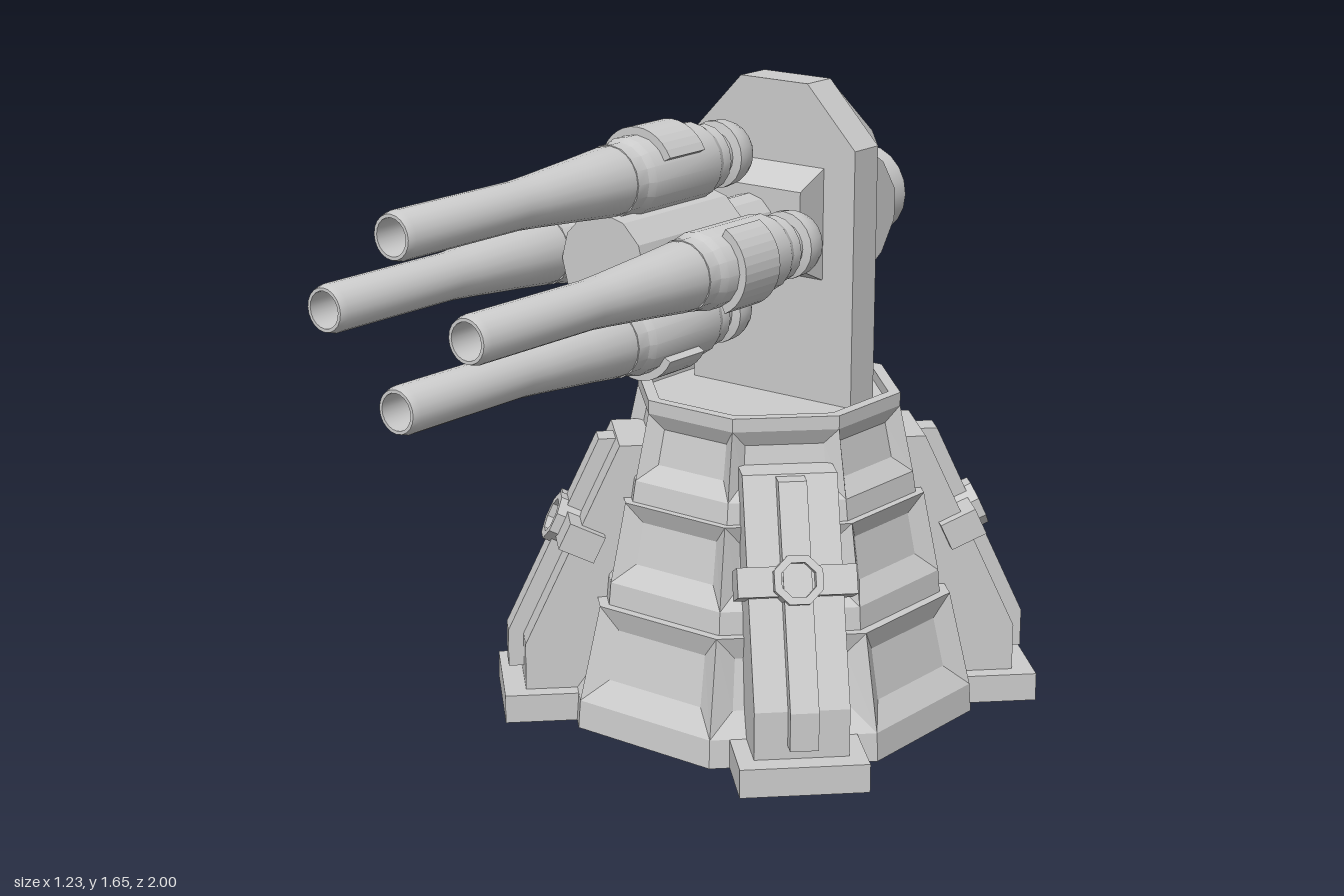
import * as THREE from 'three';
import { toCreasedNormals } from 'three/addons/utils/BufferGeometryUtils.js';

const CZ = -0.385; // centre of the base
const flat = new THREE.MeshStandardMaterial({ color: 0xcccccc, flatShading: true });
const smooth = new THREE.MeshStandardMaterial({ color: 0xcccccc });

function add(parent, name, geo, mat = flat) {
  const m = new THREE.Mesh(geo, mat);
  m.name = name;
  parent.add(m);
  return m;
}

// Triangle collector for faceted shapes
function facets() {
  const pos = [];
  const tri = (...p) => p.forEach(v => pos.push(v.x, v.y, v.z));
  const quad = (a, b, c, d) => { tri(a, b, c); tri(a, c, d); };
  const each = (lo, hi, fn) => lo.forEach((p, i) => {
    const j = (i + 1) % lo.length;
    fn(p, lo[j], hi[j], hi[i], i);
  });
  const band = (lo, hi) => each(lo, hi, quad);
  const cap = (r, up) => {
    for (let i = 1; i < r.length - 1; i++) up ? tri(r[0], r[i], r[i + 1]) : tri(r[0], r[i + 1], r[i]);
  };
  const build = () => {
    const g = new THREE.BufferGeometry();
    g.setAttribute('position', new THREE.Float32BufferAttribute(pos, 3));
    g.computeVertexNormals();
    return g;
  };
  return { quad, each, band, cap, build };
}

// Octagon ring with flats on the axes; r is the distance to a flat
function octagon(r, y) {
  return Array.from({ length: 8 }, (_, i) => {
    const a = (i - 0.5) * Math.PI / 4, R = r / Math.cos(Math.PI / 8);
    return new THREE.Vector3(Math.sin(a) * R, y, Math.cos(a) * R);
  });
}

// Octagonal tier: plinth, sloped sides with sunken panels, upper rim
function tierGeometry(y0, y1, y2, y3, r0, r1, r2, topRecess) {
  const f = facets();
  const a = octagon(r0, y0), b = octagon(r1, y1), c = octagon(r2, y2), d = octagon(r2, y3);
  f.cap(a, false);
  f.band(a, b);
  f.each(b, c, (p0, p1, p2, p3, i) => {
    const n = (i * Math.PI) / 4, at = (u, v) => p0.clone().lerp(p1, u).lerp(p3.clone().lerp(p2, u), v)
      .add(new THREE.Vector3(-Math.sin(n) * 0.03, 0, -Math.cos(n) * 0.03));
    const outer = [p0, p1, p2, p3];
    const inner = [at(0.14, 0.24), at(0.86, 0.24), at(0.86, 0.76), at(0.14, 0.76)];
    f.band(outer, inner);
    f.quad(...inner);
  });
  if (y3 > y2) f.band(c, d);
  if (topRecess) {
    const e = octagon(r2 - 0.03, y3), g = octagon(r2 - 0.03, y3 - 0.03);
    f.band(d, e);
    f.band(e, g);
    f.cap(g, true);
  } else f.cap(d, true);
  return f.build();
}

// Side profile of [forward, y] pairs extruded across x
function sideExtrude(points, halfWidth) {
  const s = new THREE.Shape(points.map(p => new THREE.Vector2(...p)));
  return new THREE.ExtrudeGeometry(s, { depth: halfWidth * 2, bevelEnabled: false })
    .translate(0, 0, -halfWidth).rotateY(-Math.PI / 2);
}

// Turned part along z from [radius, z] pairs
function turned(points, sides) {
  const g = new THREE.LatheGeometry(points.map(p => new THREE.Vector2(...p)), sides).rotateX(Math.PI / 2);
  g.scale(1, 1, 1);
  return toCreasedNormals(g, 0.45);
}

function buttress() {
  const leg = new THREE.Group();
  leg.name = 'buttress';
  add(leg, 'footPad', new THREE.BoxGeometry(0.326, 0.075, 0.35).translate(0, 0.0375, 0.532));
  add(leg, 'buttressBody', sideExtrude(
    [[0.25, 0.02], [0.65, 0.02], [0.65, 0.2], [0.4, 0.735], [0.25, 0.735]], 0.12));
  add(leg, 'buttressRib', sideExtrude(
    [[0.6, 0.11], [0.69, 0.11], [0.69, 0.21], [0.447, 0.73], [0.36, 0.73]], 0.036));

  // Cross clamp with an octagonal ring
  const clamp = new THREE.Group();
  clamp.name = 'clamp';
  clamp.position.set(0, 0.49, 0.515);
  clamp.rotation.x = -0.437;
  add(clamp, 'clampBar', new THREE.BoxGeometry(0.29, 0.075, 0.06).translate(0, 0, 0.005));
  for (const s of [-1, 1]) {
    add(clamp, 'clampEnd', new THREE.BoxGeometry(0.04, 0.075, 0.1).translate(s * 0.13, 0, -0.015));
  }
  const oct = r => Array.from({ length: 8 }, (_, i) => {
    const a = (i + 0.5) * Math.PI / 4;
    return new THREE.Vector2(Math.cos(a) * r, Math.sin(a) * r);
  });
  const ring = new THREE.Shape(oct(0.066));
  ring.holes.push(new THREE.Path(oct(0.046).reverse()));
  add(clamp, 'clampRing', new THREE.ExtrudeGeometry(ring, { depth: 0.08, bevelEnabled: false }).translate(0, 0, -0.02));
  leg.add(clamp);
  return leg;
}

function gunBarrel() {
  const gun = new THREE.Group();
  gun.name = 'gunBarrel';
  const dome = Array.from({ length: 7 }, (_, i) => {
    const a = i * Math.PI / 12;
    return [0.085 * Math.sin(a), -0.175 - 0.085 * Math.cos(a)];
  });
  add(gun, 'barrel', turned([...dome, [0.085, -0.155], [0.062, -0.15], [0.062, -0.1], [0.085, 0.2],
    [0.085, 0.27], [0.075, 0.38], [0.062, 0.54], [0.058, 0.6], [0.058, 0.98], [0.052, 1],
    [0.044, 1], [0.044, 0.9], [0, 0.9]], 20), smooth);
  add(gun, 'collar', turned([[0.06, -0.12], [0.084, -0.115], [0.084, -0.085], [0.097, -0.06],
    [0.097, 0.19], [0.088, 0.21], [0.088, 0.25], [0.08, 0.25]], 16), smooth);

  // Curved clip over the outward half of the collar
  const arc = new THREE.Shape(), a0 = Math.PI / 2 - 1.1, a1 = Math.PI / 2 + 1.1;
  arc.absarc(0, 0, 0.116, a0, a1, false);
  arc.absarc(0, 0, 0.085, a1, a0, true);
  add(gun, 'collarClip', new THREE.ExtrudeGeometry(arc, { depth: 0.135, bevelEnabled: false, curveSegments: 6 })
    .translate(0, 0, 0.015));
  return gun;
}

// Tower lofted from three plans; the back tapers towards the crest
function towerGeometry() {
  const plan = (y, w, z1, w2, z2) => [[-w2, z2], [-w, z1], [-w, -0.4], [w, -0.4], [w, z1], [w2, z2]]
    .map(([x, z]) => new THREE.Vector3(x, y, z));
  const rings = [plan(0.8, 0.255, -0.5, 0.13, -0.655), plan(1.5, 0.255, -0.5, 0.13, -0.655),
    plan(1.655, 0.105, -0.5, 0.1, -0.501)];
  const f = facets();
  f.cap(rings[0], false);
  f.band(rings[0], rings[1]);
  f.band(rings[1], rings[2]);
  f.cap(rings[2], true);
  return f.build();
}

export function createModel() {
  const model = new THREE.Group();
  model.name = 'gunTurret';

  // Stepped base with four diagonal buttresses
  const base = new THREE.Group();
  base.name = 'base';
  base.position.z = CZ;
  add(base, 'lowerTier', tierGeometry(0, 0.075, 0.325, 0.325, 0.52, 0.515, 0.46));
  add(base, 'middleTier', tierGeometry(0.325, 0.385, 0.595, 0.595, 0.435, 0.43, 0.39));
  add(base, 'upperTier', tierGeometry(0.595, 0.65, 0.825, 0.86, 0.37, 0.362, 0.327, true));
  for (let i = 0; i < 4; i++) {
    const leg = buttress();
    leg.rotation.y = Math.PI / 4 + i * Math.PI / 2;
    base.add(leg);
  }
  model.add(base);

  // Tower and pivot hub
  add(model, 'tower', towerGeometry());
  const half = [[-0.3, 0.1], [-0.4, 0.145], [-0.6, 0.16], [-0.665, 0.12], [-0.72, 0.04]];
  const hub = [...half.map(([z, y]) => [z, 1.3 + y]), ...half.map(([z, y]) => [z, 1.3 - y]).reverse()];
  add(model, 'pivotHub', sideExtrude(hub, 0.16));

  // Gun cluster
  const guns = new THREE.Group();
  guns.name = 'gunCluster';
  guns.position.y = 1.3;
  add(guns, 'rearCap', turned([[0, -0.83], [0.12, -0.83], [0.12, -0.73], [0.108, -0.72], [0.108, -0.65]], 20), smooth);
  add(guns, 'core', turned([[0.078, -0.32], [0.078, -0.12], [0.128, -0.12], [0.128, 0.28], [0, 0.28]], 12));
  for (let i = 0; i < 4; i++) {
    const gun = gunBarrel(), a = i * Math.PI / 2, r = i % 2 ? 0.217 : 0.2;
    gun.rotation.z = a;
    gun.position.set(-Math.sin(a) * r, Math.cos(a) * r, 0);
    guns.add(gun);
  }
  model.add(guns);
  return model;
}
